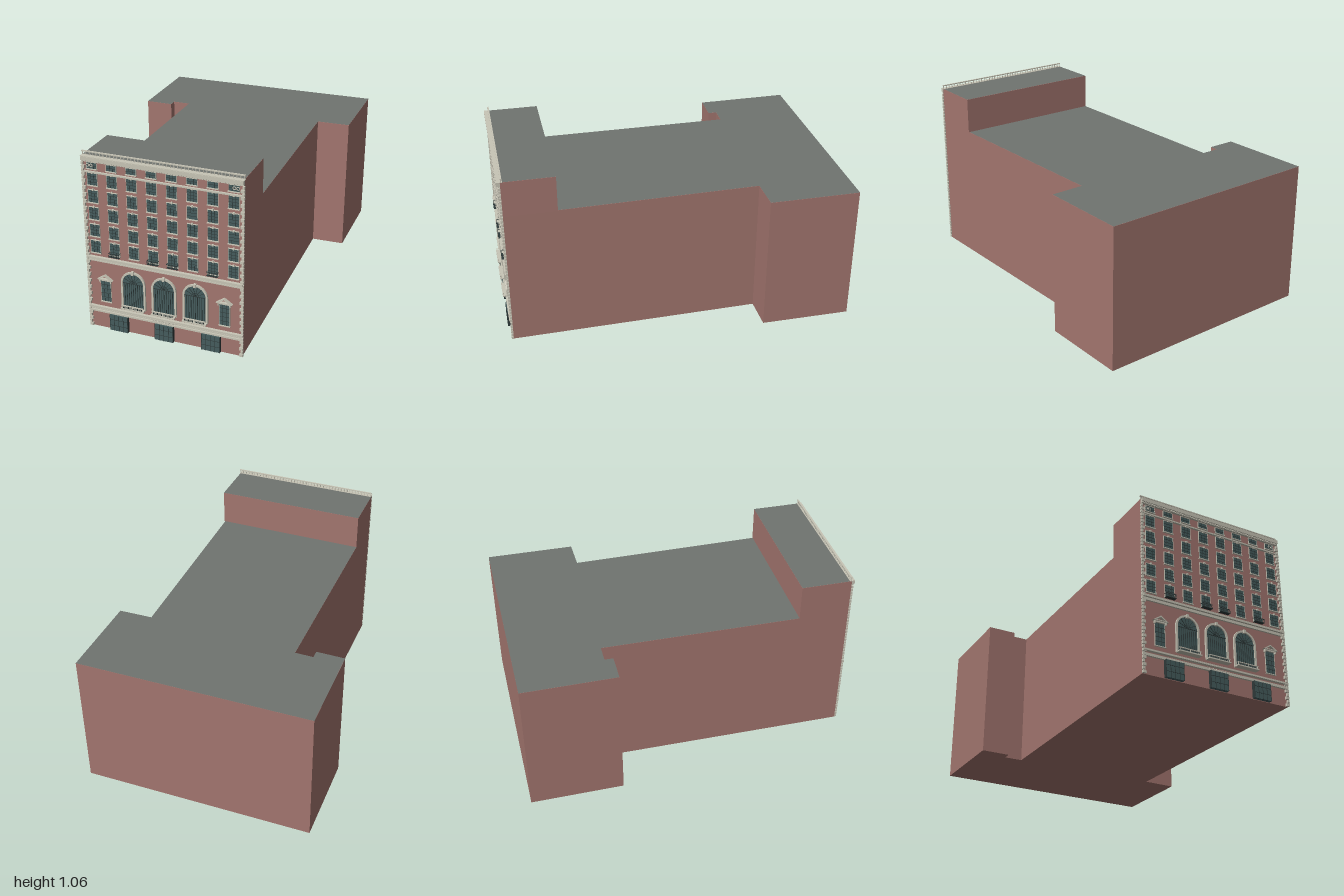
import * as THREE from 'three';

const mat = (color, side = THREE.FrontSide) => new THREE.MeshStandardMaterial({ color, side });
const FACE = 0.967; // z of the brick front
const MID = 0.0525; // x of the front's centre line

export function createModel() {
  const model = new THREE.Group();
  const brick = mat(0xa3766f), roofMat = mat(0x707470), trim = mat(0xc8c5b6);
  const glass = mat(0x455c5d), iron = mat(0x2f3a3a);

  const group = (name, parent = model) => {
    const g = new THREE.Group();
    g.name = name;
    parent.add(g);
    return g;
  };
  const add = (parent, name, geo, material, x = 0, y = 0, z = 0) => {
    const m = new THREE.Mesh(geo, material);
    m.name = name;
    m.position.set(x, y, z);
    parent.add(m);
    return m;
  };
  // Box on the front wall: centre x, from y0 to y1, standing out by d
  const slab = (parent, name, material, x, y0, y1, w, d, z = FACE) =>
    add(parent, name, new THREE.BoxGeometry(w, y1 - y0, d), material, x, (y0 + y1) / 2, z + d / 2);

  // Solid of a plan outline [x, z], with a grey roof on top
  const block = (name, plan, y0, y1) => {
    const g = group(name);
    const shape = new THREE.Shape(plan.map(([x, z]) => new THREE.Vector2(x, -z)));
    const walls = new THREE.ExtrudeGeometry(shape, { depth: y1 - y0, bevelEnabled: false });
    add(g, 'walls', walls.rotateX(-Math.PI / 2), brick, 0, y0, 0);
    add(g, 'roof', new THREE.ShapeGeometry(shape).rotateX(-Math.PI / 2), roofMat, 0, y1 + 0.001, 0);
  };
  block('mainBuilding', [
    [-0.4, FACE], [0.5, FACE], [0.495, 0.67], [0.475, -0.475], [0.67, -0.48], [0.67, -1],
    [-0.675, -0.98], [-0.67, -0.44], [-0.505, -0.44], [-0.505, -0.49], [-0.4, -0.49],
  ], 0, 0.82);
  block('frontTower', [[-0.4, FACE], [0.5, FACE], [0.5, 0.67], [-0.4, 0.67]], 0.82, 1.03);

  // Glass pane with muntins and a thin surround
  const windowAt = (parent, x, y0, y1, w, bars, rails) => {
    const g = group('window', parent);
    slab(g, 'pane', glass, x, y0, y1, w, 0.003);
    for (let i = 1; i <= bars; i++)
      slab(g, 'muntin', iron, x - w / 2 + (w * i) / (bars + 1), y0, y1, 0.0015, 0.0045);
    for (let i = 1; i <= rails; i++) {
      const y = y0 + ((y1 - y0) * i) / (rails + 1);
      slab(g, 'rail', iron, x, y - 0.001, y + 0.001, w, 0.0045);
    }
    for (const s of [-1, 1]) slab(g, 'jamb', trim, x + s * w / 2, y0, y1, 0.002, 0.005);
    slab(g, 'sill', trim, x, y0 - 0.005, y0, w + 0.006, 0.009);
    return g;
  };

  // Upper floors: eight columns of windows
  const floors = [[0.468, 0.54], [0.567, 0.637], [0.667, 0.738], [0.767, 0.838], [0.867, 0.936], [0.962, 0.996]];
  const upper = group('upperWindows');
  for (let c = 0; c < 8; c++) {
    const x = MID + (c - 3.5) * 0.113;
    floors.forEach(([y0, y1], f) => {
      const g = windowAt(upper, x, y0, y1, 0.058, 2, f === 5 ? 1 : 3);
      slab(g, 'lintel', trim, x, y1, y1 + 0.003, 0.06, 0.006);
      if (f < 5) slab(g, 'keystone', trim, x, y1 - 0.002, y1 + 0.008, 0.009, 0.01);
    });
    // Iron balconies on the lowest of these floors
    if ([1, 3, 4, 6].includes(c)) {
      const b = group('ironBalcony', upper);
      slab(b, 'floor', iron, x, 0.462, 0.465, 0.062, 0.022);
      slab(b, 'handrail', iron, x, 0.484, 0.487, 0.062, 0.003, FACE + 0.019);
      for (let i = 0; i <= 12; i++)
        slab(b, 'bar', iron, x - 0.03 + i * 0.005, 0.465, 0.485, 0.0012, 0.002, FACE + 0.02);
      for (const s of [-1, 1]) slab(b, 'sideRail', iron, x + s * 0.03, 0.484, 0.487, 0.002, 0.022);
    }
  }

  // Arched outline, from the sill up
  const arch = (Type, cy, r, y0) => {
    const p = new Type();
    p.moveTo(-r, y0);
    p.lineTo(r, y0);
    p.lineTo(r, cy);
    p.absarc(0, cy, r, 0, Math.PI, false);
    p.lineTo(-r, y0);
    return p;
  };
  const extrude = (shape, depth) =>
    new THREE.ExtrudeGeometry(shape, { depth, bevelEnabled: false, curveSegments: 16 });

  for (const x of [-0.128, MID, 0.234]) {
    const g = group('archedWindow');
    const spring = 0.315, r = 0.061;
    add(g, 'pane', extrude(arch(THREE.Shape, spring, r, 0.165), 0.003), glass, x, 0, FACE);
    const surround = arch(THREE.Shape, spring, 0.072, 0.162);
    surround.holes.push(arch(THREE.Path, spring, r, 0.168));
    add(g, 'surround', extrude(surround, 0.01), trim, x, 0, FACE);
    slab(g, 'keystone', trim, x, 0.372, 0.392, 0.014, 0.016);
    slab(g, 'transom', iron, x, spring - 0.003, spring, 2 * r, 0.006);
    for (let i = -4; i <= 4; i++) slab(g, 'mullion', iron, x + i * 0.0125, 0.17, spring, 0.0022, 0.006);
    // Fan light
    for (let i = 1; i < 7; i++) {
      const a = (i * Math.PI) / 7;
      const spoke = add(g, 'fanBar', new THREE.BoxGeometry(r, 0.002, 0.005), iron,
        x + Math.cos(a) * r / 2, spring + Math.sin(a) * r / 2, FACE + 0.003);
      spoke.rotation.z = a;
    }
    add(g, 'fanHub', new THREE.TorusGeometry(0.02, 0.0013, 4, 16, Math.PI), iron, x, spring, FACE + 0.004);
    // Stone balcony
    slab(g, 'balconyFloor', trim, x, 0.16, 0.167, 0.138, 0.033);
    slab(g, 'balconyRail', trim, x, 0.18, 0.185, 0.132, 0.006, FACE + 0.024);
    for (let i = 0; i <= 16; i++)
      add(g, 'baluster', new THREE.CylinderGeometry(0.0017, 0.0025, 0.014, 6), i % 8 ? iron : trim,
        x - 0.062 + i * 0.00775, 0.173, FACE + 0.027);
  }

  // Small windows with pediments at both ends
  for (const s of [-1, 1]) {
    const x = MID + s * 0.347;
    const g = windowAt(model, x, 0.172, 0.302, 0.06, 2, 4);
    g.name = 'pedimentWindow';
    const gable = new THREE.Shape([[-0.046, 0.31], [0.046, 0.31], [0, 0.341]].map(p => new THREE.Vector2(...p)));
    gable.holes.push(new THREE.Path([[-0.028, 0.315], [0, 0.333], [0.028, 0.315]].map(p => new THREE.Vector2(...p))));
    add(g, 'pediment', extrude(gable, 0.018), trim, x, 0, FACE);
    slab(g, 'frieze', trim, x, 0.302, 0.311, 0.07, 0.012);
    for (const t of [-1, 1]) slab(g, 'bracket', trim, x + t * 0.033, 0.294, 0.31, 0.007, 0.014);
  }

  // Street-level doors, standing forward of the wall
  for (const x of [-0.218, MID, 0.325]) {
    const g = group('door');
    slab(g, 'panel', glass, x, 0.003, 0.1, 0.107, 0.02);
    for (let i = 0; i <= 4; i++) slab(g, 'post', iron, x + (i - 2) * 0.0265, 0.003, 0.1, 0.002, 0.022);
    for (const y of [0.035, 0.07]) slab(g, 'rail', iron, x, y, y + 0.002, 0.107, 0.022);
  }

  // Horizontal bands: [bottom, top, projection]
  const bands = group('stoneBands');
  [[0.1, 0.11, 0.012], [0.112, 0.118, 0.006], [0.127, 0.137, 0.017], [0.417, 0.424, 0.01], [0.424, 0.434, 0.007],
    [0.434, 0.446, 0.018], [0.94, 0.948, 0.012], [1.002, 1.01, 0.012], [1.01, 1.03, 0.02],
  ].forEach(([y0, y1, d]) => slab(bands, 'band', trim, MID, y0, y1, 0.9, d));
  for (let i = 0; i < 60; i++) slab(bands, 'dentil', trim, MID - 0.4425 + i * 0.015, 1.004, 1.011, 0.007, 0.017);

  // Carved garland over the middle door
  const garland = group('garland');
  for (let i = -3; i <= 3; i++) {
    const swag = add(garland, 'swag', new THREE.TorusGeometry(0.009, 0.002, 5, 10, Math.PI), trim,
      MID + i * 0.02, 0.119, FACE + 0.009);
    swag.rotation.z = Math.PI;
  }

  // Scrolls at the top corners
  for (const s of [-1, 1]) for (const k of [0, 1])
    add(model, 'cornerScroll', new THREE.TorusGeometry(0.008, 0.0025, 5, 12), trim,
      MID + s * (0.418 - k * 0.02), 0.98, FACE + 0.005);

  // Corner quoins, long and short in turn
  const quoins = group('quoins');
  for (let i = 0; i < 50; i++) {
    const w = i % 2 ? 0.012 : 0.02;
    for (const s of [-1, 1])
      slab(quoins, 'quoin', trim, MID + s * (0.4535 - w / 2), i * 0.02 + 0.002, i * 0.02 + 0.018, w, 0.012);
  }

  // Roof balustrade
  const balustrade = group('roofBalustrade');
  slab(balustrade, 'handrail', trim, MID, 1.05, 1.056, 0.905, 0.009, 0.957);
  slab(balustrade, 'base', trim, MID, 1.03, 1.033, 0.905, 0.03, 0.955);
  for (let i = 0; i <= 45; i++)
    add(balustrade, 'baluster', new THREE.CylinderGeometry(0.002, 0.003, 0.02, 6), trim,
      MID - 0.448 + i * 0.0199, 1.041, 0.9615);
  return model;
}
